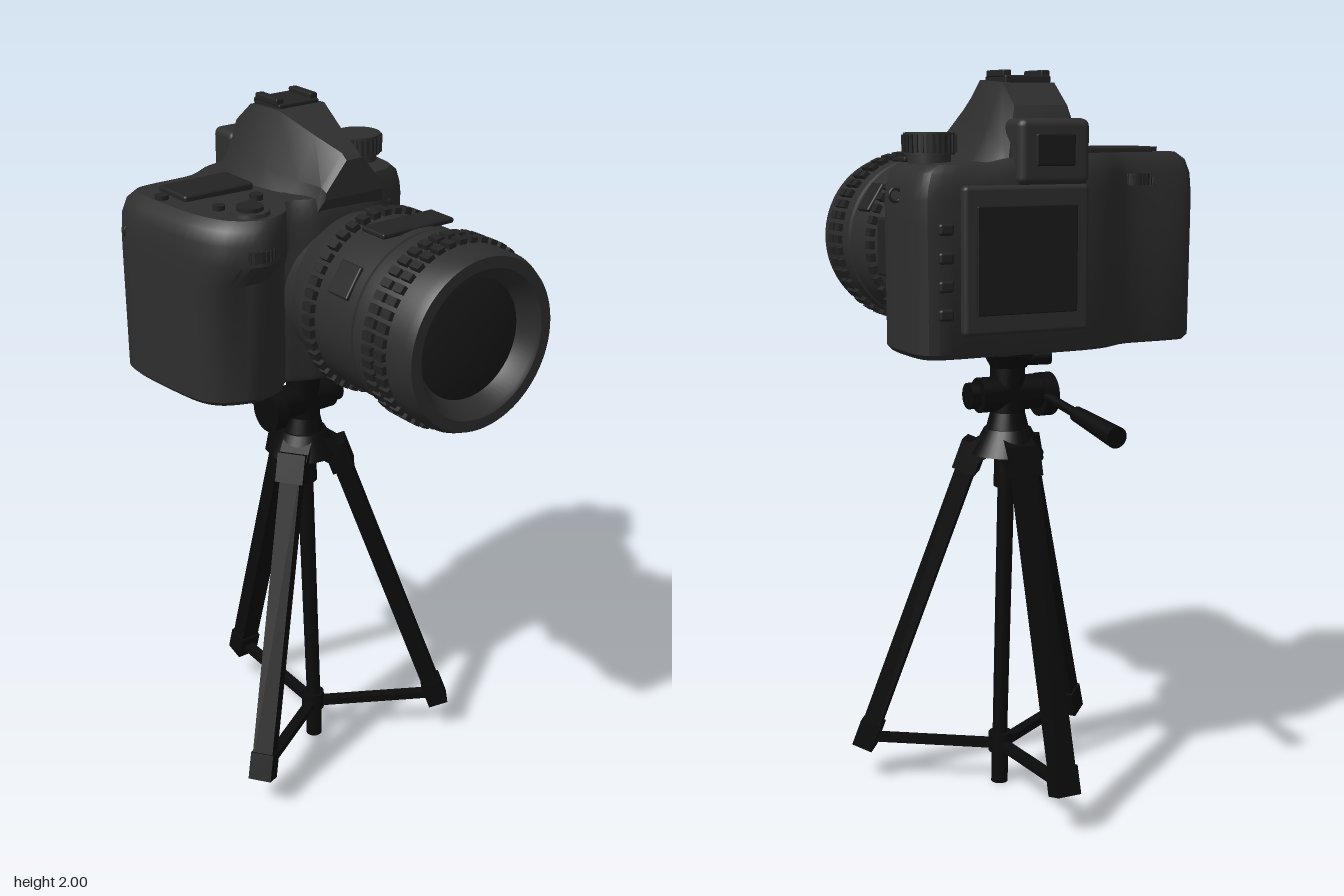
import * as THREE from 'three';
import { toCreasedNormals, mergeGeometries } from 'three/addons/utils/BufferGeometryUtils.js';
import { RoundedBoxGeometry } from 'three/addons/geometries/RoundedBoxGeometry.js';

const mat = (color) => new THREE.MeshStandardMaterial({ color, side: THREE.DoubleSide });
const bodyMat = mat(0x2e2e2e), darkMat = mat(0x232323), glassMat = mat(0x1a1a1a), tripodMat = mat(0x0b0b0b);
const V = (x, y, z) => new THREE.Vector3(x, y, z);
const AXIS_Y = 1.53, AXIS_Z = -0.06; // lens axis runs along +x

export function createModel() {
  const model = new THREE.Group();
  const camera = new THREE.Group(), tripod = new THREE.Group();
  camera.name = 'camera';
  tripod.name = 'tripod';
  model.add(camera, tripod);

  const add = (parent, name, geo, material, x = 0, y = 0, z = 0) => {
    const m = new THREE.Mesh(geo, material);
    m.name = name;
    m.position.set(x, y, z);
    parent.add(m);
    return m;
  };
  const box = (name, x, y, z, w, h, d, material = bodyMat, r = 0.008) =>
    add(camera, name, new RoundedBoxGeometry(w, h, d, 2, r), material, x, y, z);
  const knob = (parent, name, x, y, z, r, h, material, r2 = r) =>
    add(parent, name, toCreasedNormals(new THREE.CylinderGeometry(r2, r, h, 32), 0.7), material, x, y, z);

  // Skin between equal-length rings of points, with both ends closed
  const loft = (rings, crease = 0.6) => {
    const n = rings[0].length, pts = rings.flat(), idx = [];
    const centre = (ring) => ring.reduce((s, p) => s.add(p), V(0, 0, 0)).divideScalar(n);
    for (let i = 0; i < rings.length - 1; i++) for (let j = 0; j < n; j++) {
      const a = i * n + j, b = i * n + (j + 1) % n;
      idx.push(a, a + n, b, b, a + n, b + n);
    }
    const last = (rings.length - 1) * n, m = pts.length;
    for (let j = 0; j < n; j++) {
      const k = (j + 1) % n;
      idx.push(m, j, k, m + 1, last + k, last + j);
    }
    const geo = new THREE.BufferGeometry().setFromPoints([...pts, centre(rings[0]), centre(rings.at(-1))]);
    geo.setIndex(idx);
    return toCreasedNormals(geo, crease);
  };

  // Ring of small raised blocks around the y axis
  const ridges = (count, radius, size, y) => mergeGeometries(Array.from({ length: count }, (_, i) => {
    const g = new THREE.BoxGeometry(...size);
    g.translate(radius, y, 0);
    return g.rotateY(i / count * Math.PI * 2);
  }));

  // Camera body: plan outline [x, z] stacked upward, narrower grip below its top
  const outline = new THREE.CatmullRomCurve3([
    [-0.43, -0.39], [-0.3, -0.412], [-0.18, -0.4], [-0.14, -0.36], [-0.12, -0.29], [-0.03, -0.24],
    [0.04, -0.16], [0.05, -0.04], [0.05, 0.06], [0.02, 0.14], [0.09, 0.19], [0.125, 0.28], [0.07, 0.37],
    [-0.04, 0.415], [-0.26, 0.437], [-0.34, 0.42], [-0.355, 0.36], [-0.36, 0.22], [-0.41, 0.13],
    [-0.43, 0.04], [-0.435, -0.2],
  ].map(([x, z]) => V(x, 0, z)), true, 'catmullrom', 0.4).getPoints(100).slice(0, 100);
  const bodyRings = [[1.287, 0.965], [1.3, 0.995], [1.62, 1], [1.68, 1], [1.735, 0.99], [1.77, 0.96], [1.79, 0.9]]
    .map(([y, s]) => outline.map((p) => {
      const grip = p.x > 0 && p.z > 0.13 && y < 1.65 ? 0.62 : 1;
      const drop = y > 1.7 ? 0.025 * THREE.MathUtils.smoothstep(-p.z, 0.1, 0.3) : 0;
      return V(-0.17 + (p.x * grip + 0.17) * s, y - drop, p.z * s);
    }));
  add(camera, 'cameraBody', loft(bodyRings), bodyMat);

  // Prism hump: [x, base half width, shoulder half width, shoulder y, top half width, top y]
  const prism = [
    [-0.41, 0.13, 0.11, 1.78, 0.08, 1.8], [-0.37, 0.16, 0.11, 1.82, 0.075, 1.91],
    [-0.3, 0.175, 0.12, 1.85, 0.075, 1.967], [-0.17, 0.175, 0.12, 1.83, 0.075, 1.975],
    [-0.05, 0.15, 0.1, 1.82, 0.045, 1.93], [0.04, 0.11, 0.092, 1.82, 0.025, 1.9], [0.06, 0.095, 0.09, 1.81, 0.025, 1.885],
  ].map(([x, bw, sw, sy, tw, ty]) => {
    const base = x > 0.05 ? 1.79 : 1.75;
    const side = [[bw, base], [sw, sy], [tw, ty]];
    return [...side, ...side.map(([w, y]) => [-w, y]).reverse()].map(([w, y]) => V(x, y, AXIS_Z + 0.01 + w));
  });
  add(camera, 'prismHousing', loft(prism, 0.45), bodyMat);

  // Accessory shoe with two rails
  box('shoePlate', -0.24, 1.975, -0.05, 0.12, 0.02, 0.13, darkMat, 0.004);
  for (const s of [-1, 1]) box('shoeRail', -0.24, 1.99, -0.05 + s * 0.055, 0.1, 0.018, 0.025, darkMat, 0.004);

  // Back: eyepiece, screen, buttons
  box('eyepiece', -0.405, 1.795, -0.05, 0.1, 0.165, 0.2, bodyMat, 0.02);
  box('eyepieceWindow', -0.452, 1.8, -0.05, 0.012, 0.08, 0.11, glassMat, 0.005);
  box('screenFrame', -0.435, 1.53, -0.13, 0.05, 0.37, 0.35, bodyMat, 0.012);
  box('screen', -0.459, 1.53, -0.13, 0.008, 0.27, 0.28, glassMat, 0.003);
  for (let i = 0; i < 4; i++) box('backButton', -0.437, 1.4 + i * 0.07, -0.345, 0.02, 0.03, 0.04, darkMat);
  knob(camera, 'directionPad', -0.4, 1.6, 0.12, 0.04, 0.03, darkMat).rotation.z = Math.PI / 2;
  const wheel = knob(camera, 'thumbWheel', -0.325, 1.72, 0.25, 0.05, 0.03, darkMat);
  add(wheel, 'thumbWheelTeeth', ridges(22, 0.05, [0.008, 0.03, 0.006], 0), darkMat);

  // Top plate: display, shutter button, mode dial, small buttons
  box('topDisplay', -0.215, 1.792, 0.23, 0.13, 0.024, 0.215, darkMat);
  knob(camera, 'shutterCollar', 0.025, 1.787, 0.255, 0.055, 0.025, bodyMat, 0.05);
  knob(camera, 'shutterButton', 0.025, 1.8, 0.255, 0.035, 0.02, darkMat);
  for (const [x, z, r] of [[-0.07, 0.17, 0.018], [-0.03, 0.21, 0.012], [-0.05, 0.3, 0.016], [-0.21, 0.37, 0.018]])
    knob(camera, 'topButton', x, 1.79, z, r, 0.022, darkMat);
  const frontWheel = knob(camera, 'frontWheel', 0.075, 1.705, 0.275, 0.05, 0.03, darkMat);
  add(frontWheel, 'frontWheelTeeth', ridges(22, 0.05, [0.01, 0.03, 0.006], 0), darkMat);
  const dial = knob(camera, 'modeDial', -0.26, 1.815, -0.31, 0.065, 0.055, bodyMat);
  add(dial, 'modeDialTeeth', ridges(28, 0.066, [0.008, 0.045, 0.007], 0), darkMat);
  knob(camera, 'modeDialBase', -0.26, 1.78, -0.31, 0.055, 0.05, bodyMat);
  for (const s of [-1, 1]) {
    const ring = add(camera, 'strapLug', new THREE.TorusGeometry(0.016, 0.004, 8, 20), darkMat, -0.3, 1.69, s * 0.42);
    ring.rotation.y = Math.PI / 2;
  }
  box('focusSwitch', -0.06, 1.47, -0.265, 0.05, 0.07, 0.05, darkMat, 0.015);
  box('flashButton', -0.1, 1.68, -0.28, 0.04, 0.035, 0.04, darkMat, 0.012);

  // Lens: one turned profile plus ribbed rings, built upright and laid along +x
  const lens = new THREE.Group();
  lens.name = 'lens';
  lens.position.set(0, AXIS_Y, AXIS_Z);
  lens.rotation.z = -Math.PI / 2;
  camera.add(lens);
  const profile = [
    [0, -0.06], [0.2, -0.06], [0.205, 0.05], [0.212, 0.06], [0.226, 0.11], [0.235, 0.13], [0.235, 0.34], [0.23, 0.343],
    [0.23, 0.35], [0.238, 0.354], [0.238, 0.545], [0.228, 0.568], [0.198, 0.568], [0.188, 0.56], [0.16, 0.515],
  ].map(([r, y]) => new THREE.Vector2(r, y));
  add(lens, 'lensBarrel', toCreasedNormals(new THREE.LatheGeometry(profile, 72), 0.5), bodyMat);
  const glass = [[0.162, 0.515], [0.12, 0.524], [0.06, 0.529], [0, 0.53]].map(([r, y]) => new THREE.Vector2(r, y));
  add(lens, 'frontGlass', new THREE.LatheGeometry(glass, 48), glassMat);
  for (const [y, w] of [[0.173, 0.034], [0.42, 0.034], [0.466, 0.034]])
    add(lens, 'gripRibs', ridges(44, 0.241, [0.02, w, 0.022], y), darkMat);
  box('distanceWindow', 0.27, AXIS_Y + 0.233, AXIS_Z, 0.09, 0.014, 0.23, darkMat, 0.005);
  box('lensIndexMark', 0.13, AXIS_Y + 0.231, -0.072, 0.04, 0.016, 0.05, darkMat, 0.005);
  box('lensSwitchPanel', 0.1, AXIS_Y, AXIS_Z - 0.225, 0.07, 0.16, 0.025, darkMat);
  for (const s of [-1, 1]) {
    const plate = new THREE.Group();
    plate.name = 'lensPlate';
    plate.position.set(0.27, AXIS_Y, AXIS_Z);
    plate.rotation.x = s * 1.0;
    camera.add(plate);
    add(plate, 'lensPlateCover', new RoundedBoxGeometry(0.08, 0.014, 0.09, 2, 0.005), darkMat, 0, 0.235, 0);
  }

  // Beam (box) or rod (cylinder) between two points
  const between = (name, a, b, geo) => {
    const m = add(tripod, name, geo, tripodMat);
    m.position.copy(a).lerp(b, 0.5);
    m.lookAt(b);
    return m;
  };
  const beam = (name, a, b, w, h) => between(name, a, b, new THREE.BoxGeometry(w, h, a.distanceTo(b)));
  const rod = (name, a, b, r, r2 = r) =>
    between(name, a, b, new THREE.CylinderGeometry(r2, r, a.distanceTo(b), 20).rotateX(Math.PI / 2));

  // Tripod centre column, leaning slightly, with its socket
  const TZ = -0.033, hub = V(-0.105, 0.115, TZ);
  rod('centreColumn', V(-0.1, 0.1, TZ), V(-0.148, 1.05, TZ), 0.021, 0.024);
  rod('columnTip', V(-0.1, 0, TZ), V(-0.102, 0.11, TZ), 0.024);
  rod('spreaderHub', V(-0.105, 0.095, TZ), V(-0.106, 0.15, TZ), 0.034);
  rod('columnSocket', V(-0.14, 0.88, TZ), V(-0.147, 1.0, TZ), 0.035);

  // Three legs with shoulder, foot cap and spreader arm
  const legs = [
    [V(-0.235, 0.985, TZ), V(-0.495, 0.11, TZ)],
    [V(-0.09, 0.985, TZ - 0.075), V(0.1, 0.1, TZ - 0.335)],
    [V(-0.09, 0.985, TZ + 0.075), V(0.1, 0.1, TZ + 0.335)],
  ];
  for (const [top, foot] of legs) {
    const at = (t) => top.clone().lerp(foot, t);
    beam('leg', top, foot, 0.06, 0.05);
    beam('footCap', at(0.92), at(1.005), 0.068, 0.06);
    beam('legShoulder', V(-0.148, 1.03, TZ), at(0.02), 0.085, 0.06);
    beam('legSleeve', at(-0.02), at(0.07), 0.082, 0.066);
    beam('spreaderArm', hub, at(0.975), 0.03, 0.022);
  }

  // Pan head
  knob(tripod, 'crown', -0.148, 1.01, TZ, 0.1, 0.07, tripodMat, 0.065);
  knob(tripod, 'headBase', -0.148, 1.07, TZ, 0.06, 0.06, tripodMat, 0.045);
  knob(tripod, 'headStem', -0.148, 1.16, TZ, 0.048, 0.14, tripodMat);
  knob(tripod, 'tiltBarrel', -0.148, 1.14, -0.022, 0.048, 0.2, tripodMat).rotation.x = Math.PI / 2;
  knob(tripod, 'tiltKnob', -0.148, 1.13, 0.078, 0.06, 0.04, tripodMat).rotation.x = Math.PI / 2;
  knob(tripod, 'sideKnob', -0.148, 1.14, -0.14, 0.036, 0.025, tripodMat).rotation.x = Math.PI / 2;
  knob(tripod, 'plateBase', -0.155, 1.232, TZ, 0.05, 0.035, tripodMat, 0.068);
  knob(tripod, 'mountPlate', -0.152, 1.268, TZ, 0.064, 0.044, tripodMat);
  rod('plateLock', V(-0.15, 1.235, 0.02), V(-0.16, 1.235, 0.09), 0.022);

  // Pan handle
  rod('handleRod', V(-0.15, 1.135, 0.067), V(-0.4, 1.103, 0.067), 0.013);
  rod('handleGrip', V(-0.36, 1.108, 0.067), V(-0.572, 1.081, 0.067), 0.021, 0.029);

  return model;
}
